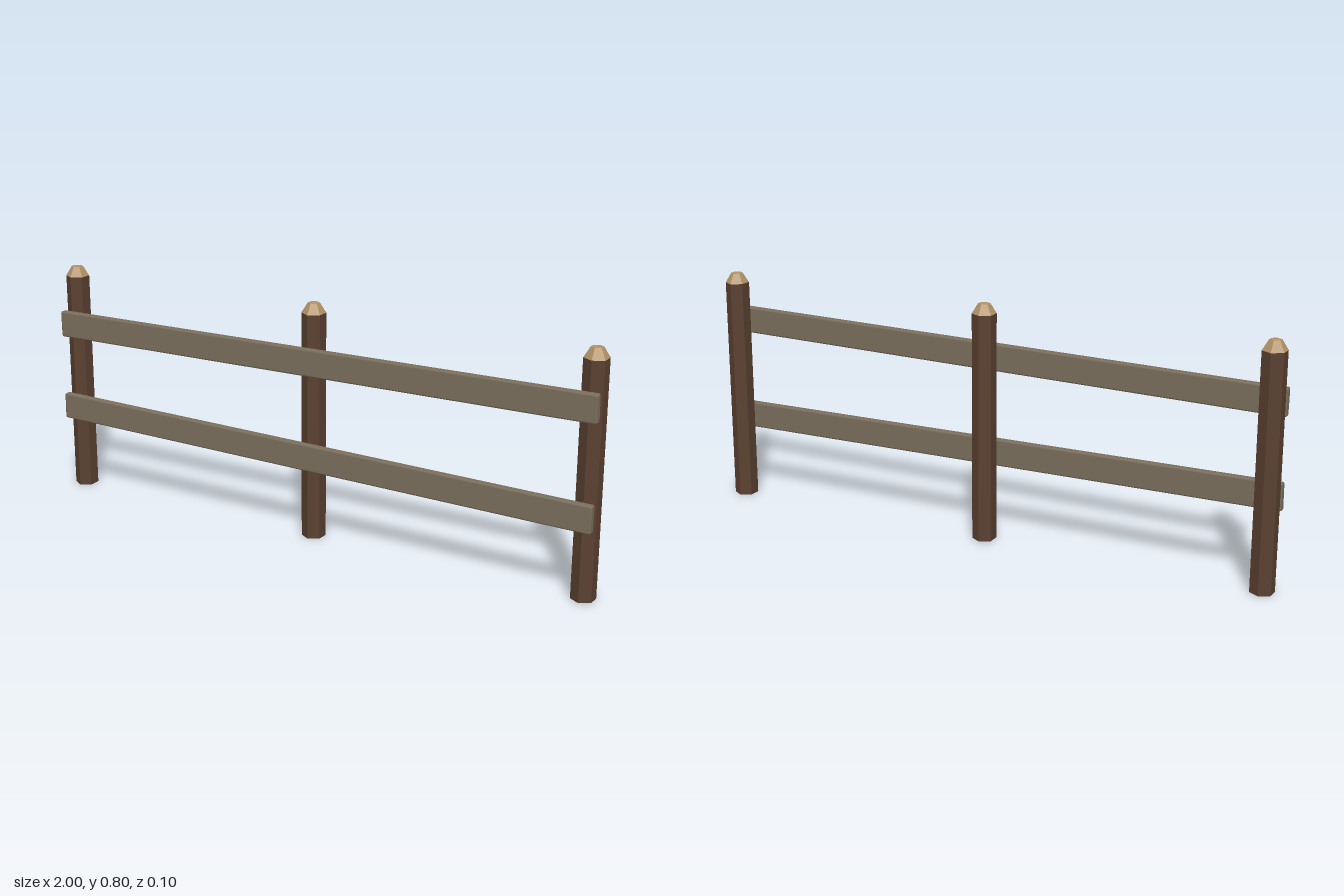
import * as THREE from 'three';
import { RoundedBoxGeometry } from 'three/addons/geometries/RoundedBoxGeometry.js';

function material(name, color, flatShading = false) {
  const m = new THREE.MeshStandardMaterial({ color, flatShading });
  m.name = name;
  return m;
}

export function createModel() {
  const group = new THREE.Group();
  group.name = 'fence';

  const bark = material('darkBrownWood', 0x5a4030, true);
  const cutWood = material('paleCutWood', 0xb39367, true);
  const weathered = material('weatheredWood', 0x7a6e5c);

  function add(parent, name, geometry, mat, x, y, z) {
    const mesh = new THREE.Mesh(geometry, mat);
    mesh.name = name;
    mesh.position.set(x, y, z);
    parent.add(mesh);
    return mesh;
  }

  // Three hexagonal posts with tapered tops
  const radius = 0.04, shaftHeight = 0.767, capHeight = 0.033;
  const shaft = new THREE.CylinderGeometry(radius, radius, shaftHeight, 6);
  const cap = new THREE.CylinderGeometry(radius * 0.5, radius, capHeight, 6);
  ['rightPost', 'middlePost', 'leftPost'].forEach((name, i) => {
    const post = new THREE.Group();
    post.name = name;
    post.position.set((i - 1) * 0.965, 0, -0.01);
    add(post, 'postShaft', shaft, bark, 0, shaftHeight / 2, 0);
    add(post, 'postCap', cap, cutWood, 0, shaftHeight + capHeight / 2, 0);
    group.add(post);
  });

  // Two soft-edged rails on the front, each slightly tilted
  const rail = new RoundedBoxGeometry(2, 0.092, 0.027, 1, 0.007);
  const rails = [
    ['upperRail', 0.614, 0.0138],
    ['lowerRail', 0.291, -0.0098],
  ];
  for (const [name, y, tilt] of rails) {
    add(group, name, rail, weathered, 0, y, 0.0375).rotation.z = tilt;
  }

  return group;
}
